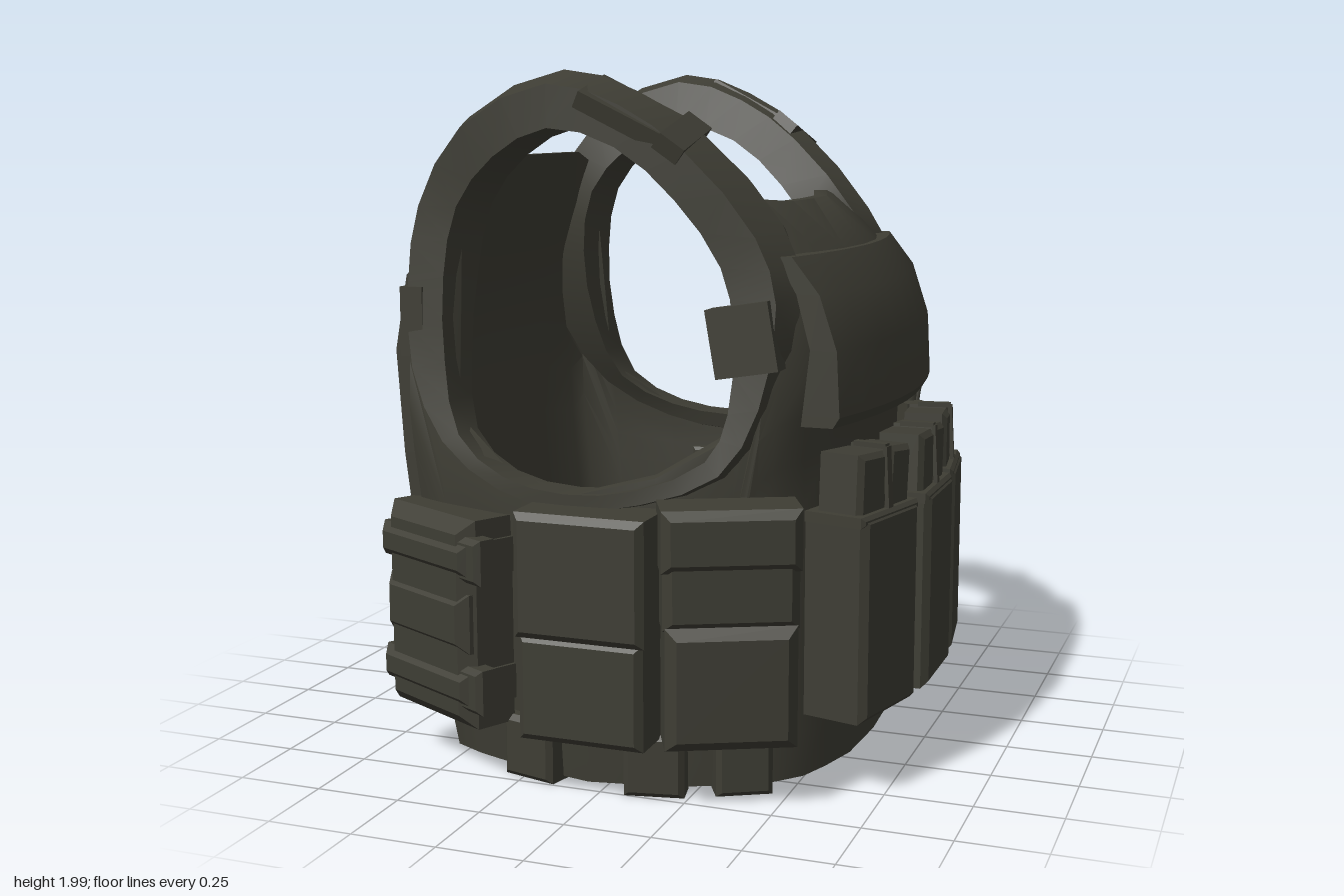
import * as THREE from 'three';
import { toCreasedNormals } from 'three/addons/utils/BufferGeometryUtils.js';

const fabric = new THREE.MeshStandardMaterial({ color: 0x3e3d34 });

// Linear interpolation through [key, value] pairs
function curve(table) {
  return (y) => {
    let i = 1;
    while (i < table.length - 1 && y > table[i][0]) i++;
    const [a, b] = [table[i - 1], table[i]];
    const t = THREE.MathUtils.clamp((y - a[0]) / (b[0] - a[0]), 0, 1);
    return a[1] + (b[1] - a[1]) * t;
  };
}

// Body profile by height: chest x, back x, half width in z
const chestX = curve([[0.02, 0.59], [0.9, 0.6], [1.25, 0.64], [1.4, 0.6], [1.52, 0.53], [1.64, 0.37]]);
const backX = curve([[0.02, -0.62], [0.17, -0.65], [0.9, -0.74], [1.2, -0.76], [1.42, -0.71], [1.5, -0.66], [1.75, -0.57]]);
const halfZ = curve([[0.02, 0.7], [0.4, 0.72], [0.85, 0.73], [1.0, 0.68], [1.2, 0.61], [1.6, 0.58]]);

// Skin closed cross-section loops; capped at both ends unless the row of loops closes
function loft(sections, closed, crease = 0.5) {
  const pos = [];
  const tri = (...pts) => pts.forEach((p) => pos.push(...p));
  const n = sections[0].length, m = sections.length;
  for (let i = 0; i < (closed ? m : m - 1); i++) {
    const a = sections[i], b = sections[(i + 1) % m];
    for (let k = 0; k < n; k++) {
      const l = (k + 1) % n;
      tri(a[k], a[l], b[k]);
      tri(b[k], a[l], b[l]);
    }
  }
  if (!closed) {
    const s = sections[0], e = sections[m - 1];
    for (let k = 0; k < n / 2 - 1; k++) {
      const p = n - 1 - k, q = n - 2 - k;
      tri(e[k], e[k + 1], e[p]); tri(e[k + 1], e[q], e[p]);
      tri(s[k + 1], s[k], s[p]); tri(s[q], s[k + 1], s[p]);
    }
  }
  const g = new THREE.BufferGeometry();
  g.setAttribute('position', new THREE.Float32BufferAttribute(pos, 3));
  g.computeVertexNormals();
  return toCreasedNormals(g, crease);
}

function add(parent, name, geometry, x = 0, y = 0, z = 0, rx = 0, ry = 0, rz = 0) {
  const mesh = new THREE.Mesh(geometry, fabric);
  mesh.name = name;
  mesh.position.set(x, y, z);
  mesh.rotation.set(rx, ry, rz);
  parent.add(mesh);
}

// Box standing on y = 0 with its back at z = 0 and a chamfered front
function padGeometry(w, h, d, c = 0.02) {
  const g = new THREE.BoxGeometry(w, h, d, 1, 1, 2);
  const p = g.attributes.position;
  for (let i = 0; i < p.count; i++) {
    const z = p.getZ(i);
    if (z > d * 0.4) {
      p.setX(i, p.getX(i) - Math.sign(p.getX(i)) * c);
      p.setY(i, p.getY(i) - Math.sign(p.getY(i)) * c);
    } else if (z > -d * 0.1) p.setZ(i, d / 2 - c);
  }
  g.translate(0, h / 2, d / 2);
  return toCreasedNormals(g, 0.3);
}

// Group on the body wall whose local +z points outward
function mount(parent, name, x, y, z, angle) {
  const g = new THREE.Group();
  g.name = name;
  g.position.set(x, y, z);
  g.rotation.y = angle;
  parent.add(g);
  return g;
}

function buildTorso(parent) {
  // Columns from chest to back: [back-to-front share, width share at waist, at chest, top height]
  const half = [
    [1, 0, 0, 1.63], [0.99, 0.33, 0.3, 1.63], [0.96, 0.52, 0.55, 1.64], [0.93, 0.66, 0.82, 1.6], [0.88, 0.76, 0.93, 1.55],
    [0.855, 0.8, 0.97, 1.5], [0.81, 0.85, 0.97, 1.02], [0.66, 0.96, 0.99, 0.9], [0.47, 1.02, 1.02, 0.84],
    [0.3, 0.96, 0.99, 0.88], [0.15, 0.87, 0.95, 1.02], [0.07, 0.8, 0.93, 1.55], [0.05, 0.73, 0.83, 1.7],
    [0.02, 0.5, 0.6, 1.75], [0, 0, 0, 1.75]];
  const mirrored = half.slice(1, -1).reverse().map(([s, a, b, t]) => [s, -a, -b, t]);
  const rows = 12;
  const sections = [...half, ...mirrored].map(([s, waist, chest, top]) => {
    const outer = [];
    for (let i = 0; i <= rows; i++) {
      const y = 0.02 + (top - 0.02) * i / rows;
      const w = THREE.MathUtils.lerp(waist, chest, THREE.MathUtils.smoothstep(y, 0.8, 1.15));
      outer.push([THREE.MathUtils.lerp(backX(y), chestX(y), s), y, halfZ(y) * w]);
    }
    const inner = outer.map(([x, y, z]) => [-0.08 + (x + 0.08) * 0.92, y, z * 0.92]).reverse();
    return [...outer, ...inner];
  });
  add(parent, 'torsoShell', loft(sections, true, 0.7));
}

// Curved panel lying on the chest (dir = 1) or the back (dir = -1); rows are [height, lift]
function panel(parent, name, dir, profile, rows, width, bow) {
  const sections = [];
  for (let i = 0; i <= 8; i++) {
    const z = dir * width * (i / 4 - 1);
    const at = (x, y) => [profile(y) + dir * (x - bow * z * z), y, z];
    sections.push([...rows.map(([y, lift]) => at(lift, y)), ...rows.map(([y]) => at(-0.03, y)).reverse()]);
  }
  add(parent, name, loft(sections, false));
}

// Shoulder strap running on as the armhole rim: [inner x, y, outer x, y, z near neck, z outside]
function buildStrap(parent, side) {
  const path = [
    [-0.2, 1.84, -0.2, 2.0, 0.39, 0.62], [0, 1.79, 0.02, 1.94, 0.385, 0.62], [0.17, 1.65, 0.21, 1.82, 0.36, 0.61],
    [0.3, 1.47, 0.43, 1.58, 0.34, 0.6], [0.34, 1.3, 0.5, 1.4, 0.42, 0.61], [0.335, 1.08, 0.45, 1.1, 0.48, 0.64],
    [0.28, 0.95, 0.33, 0.9, 0.56, 0.67], [0.1, 0.87, 0.12, 0.82, 0.62, 0.73], [-0.1, 0.85, -0.1, 0.79, 0.64, 0.75],
    [-0.3, 0.88, -0.32, 0.83, 0.62, 0.72], [-0.46, 0.98, -0.53, 0.95, 0.55, 0.67], [-0.52, 1.18, -0.66, 1.15, 0.46, 0.63],
    [-0.53, 1.42, -0.68, 1.4, 0.39, 0.61], [-0.49, 1.62, -0.65, 1.62, 0.37, 0.6], [-0.37, 1.76, -0.5, 1.87, 0.38, 0.61]];
  const smooth = (pick) => new THREE.CatmullRomCurve3(path.map((p) => new THREE.Vector3(...pick(p))), true);
  const inner = smooth((p) => [p[0], p[1], p[4]]);
  const outer = smooth((p) => [p[2], p[3], p[5]]);
  const sections = [];
  for (let i = 0; i < 30; i++) {
    const a = inner.getPoint(i / 30), b = outer.getPoint(i / 30);
    const at = (t, s) => [a.x + (b.x - a.x) * t, a.y + (b.y - a.y) * t, side * (a.z + (b.z - a.z) * s)];
    sections.push([at(0, 0), at(0.85, 0.12), at(1, 0.45), at(0.75, 1), at(0, 1)]);
  }
  if (side < 0) sections.reverse();
  add(parent, 'shoulderStrap', loft(sections, true));

  // Strap hardware
  add(parent, 'strapKeeper', new THREE.BoxGeometry(0.32, 0.05, 0.19), 0.04, 1.87, side * 0.535, side * 0.25, 0, -0.48);
  add(parent, 'strapBuckle', new THREE.BoxGeometry(0.08, 0.05, 0.23), 0.16, 1.815, side * 0.52, side * 0.25, 0, -0.65);
  add(parent, 'chestBuckle', new THREE.BoxGeometry(0.18, 0.19, 0.07), 0.37, 1.28, side * 0.6, 0, 0, 0.17);
  add(parent, 'backBuckle', new THREE.BoxGeometry(0.07, 0.2, 0.06), -0.63, 1.29, side * 0.59);
}

// Magazine pouch with two magazines and a retaining cord
function magazinePouch(parent, x, z, angle) {
  const g = mount(parent, 'magazinePouch', x, 0.23, z, angle);
  add(g, 'pouchBody', padGeometry(0.31, 0.58, 0.19));
  add(g, 'pouchRim', padGeometry(0.32, 0.03, 0.185, 0.01), 0, 0.55);
  add(g, 'magazine', padGeometry(0.15, 0.34, 0.13, 0.015), -0.07, 0.4, 0.03, 0, 0, -0.05);
  add(g, 'magazine', padGeometry(0.12, 0.34, 0.13, 0.015), 0.07, 0.4, 0.03, 0, 0, -0.08);
  add(g, 'retainingCord', new THREE.BoxGeometry(0.025, 0.2, 0.012), 0.01, 0.65, 0.165, -0.06);
  add(g, 'cordTop', new THREE.BoxGeometry(0.025, 0.014, 0.1), 0.01, 0.75, 0.11);
}

// Wide pouch held by two buckled belts
function beltedPouch(parent, side) {
  const g = mount(parent, 'beltedPouch', -0.46, 0.17, side * 0.61, side > 0 ? -0.48 : Math.PI + 0.48);
  add(g, 'pouchBody', padGeometry(0.4, 0.6, 0.165, 0.04));
  add(g, 'middleFold', padGeometry(0.385, 0.17, 0.175, 0.03), 0, 0.22);
  for (const y of [0.07, 0.44]) {
    add(g, 'belt', padGeometry(0.42, 0.1, 0.178, 0.025), 0, y);
    add(g, 'beltBuckle', padGeometry(0.1, 0.13, 0.06, 0.015), side * 0.2, y - 0.015, 0.1);
  }
}

// Pouch with a bulging lower half and an overlapping lid
function liddedPouch(parent, side) {
  const g = mount(parent, 'liddedPouch', 0.33, 0.19, side * 0.64, side > 0 ? 0.45 : Math.PI - 0.45);
  add(g, 'lowerHalf', padGeometry(0.36, 0.34, 0.175, 0.03));
  add(g, 'upperHalf', padGeometry(0.37, 0.33, 0.16, 0.025), 0, 0.33);
  add(g, 'lid', padGeometry(0.38, 0.17, 0.175, 0.025), 0, 0.49);
}

export function createModel() {
  const model = new THREE.Group();
  model.name = 'loadBearingVest';

  buildTorso(model);
  panel(model, 'chestFlap', 1, chestX, [[1.04, 0.06], [1.07, 0.075], [1.25, 0.045], [1.4, 0.035], [1.5, 0.015]], 0.54, 0.26);
  panel(model, 'backPanel', -1, backX, [[0.17, 0.04], [0.5, 0.04], [0.9, 0.04], [1.2, 0.04], [1.42, 0.05], [1.47, 0.02]], 0.57, 0.28);
  for (const side of [1, -1]) {
    buildStrap(model, side);
    beltedPouch(model, side);
    liddedPouch(model, side);
  }

  // Chest pouches
  magazinePouch(model, 0.565, 0.39, Math.PI / 2 - 0.25);
  magazinePouch(model, 0.61, 0.055, Math.PI / 2);
  magazinePouch(model, 0.58, -0.295, Math.PI / 2 + 0.14);

  // Left side: central flap pouch
  const flap = mount(model, 'flapPouch', -0.01, 0.18, 0.7, 0);
  add(flap, 'pouchBody', padGeometry(0.365, 0.3, 0.175));
  add(flap, 'pouchFlap', padGeometry(0.38, 0.35, 0.185), 0, 0.29);

  // Right side: narrow pouch, tool holder, radio with cable
  const narrow = mount(model, 'narrowPouch', 0.02, 0.22, -0.7, Math.PI);
  add(narrow, 'pouchBody', padGeometry(0.23, 0.55, 0.165));
  add(narrow, 'pouchLid', padGeometry(0.25, 0.16, 0.18, 0.02), 0, 0.42);
  const tool = mount(model, 'toolHolder', -0.22, 0.28, -0.69, Math.PI + 0.15);
  add(tool, 'holder', padGeometry(0.13, 0.36, 0.12, 0.02));
  for (const y of [0.04, 0.24]) add(tool, 'holderBand', padGeometry(0.18, 0.07, 0.15, 0.015), 0, y);
  const radio = mount(model, 'radio', 0.5, 0.33, -0.5, Math.PI / 2 + 0.75);
  add(radio, 'radioPouch', padGeometry(0.17, 0.45, 0.16, 0.03));
  add(radio, 'radioBody', padGeometry(0.13, 0.26, 0.1, 0.02), 0, 0.36, 0.03);
  add(radio, 'radioKnob', new THREE.CylinderGeometry(0.03, 0.03, 0.06, 8), 0.02, 0.63, 0.08);
  const cable = new THREE.CatmullRomCurve3([
    new THREE.Vector3(0.46, 1.37, -0.55), new THREE.Vector3(0.54, 1.34, -0.57),
    new THREE.Vector3(0.59, 1.15, -0.59), new THREE.Vector3(0.57, 0.93, -0.57)]);
  add(model, 'radioCable', new THREE.TubeGeometry(cable, 10, 0.01, 5));

  for (const side of [1, -1]) {
    // Webbing tabs along the lower hem
    for (const [x, z, w, a] of [[-0.21, 0.65, 0.17, -0.25], [0.14, 0.66, 0.17, 0.2], [0.35, 0.57, 0.16, 0.5]]) {
      const g = mount(model, 'hemTab', x, 0.01, side * z, side > 0 ? a : Math.PI - a);
      add(g, 'tab', padGeometry(w, 0.18, 0.09, 0.015));
    }
    // Stacked webbing inside the side wall
    const lining = mount(model, 'innerWebbing', -0.08, 0.2, side * 0.67, side > 0 ? Math.PI : 0);
    for (let i = 0; i < 4; i++) add(lining, 'innerBand', padGeometry(0.3, 0.11, 0.04, 0.01), 0, i * 0.14);
  }
  return model;
}
